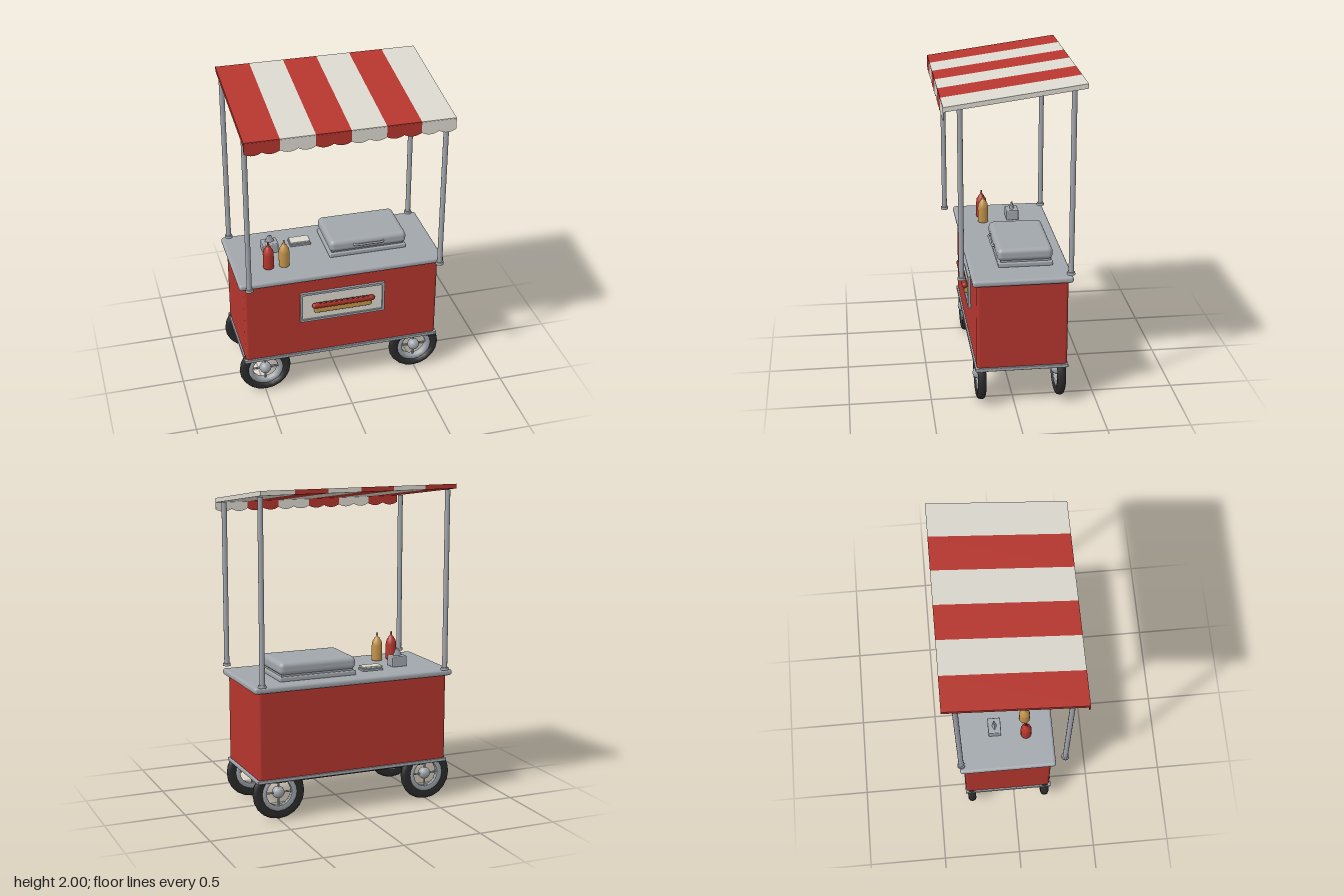
import * as THREE from 'three';
import { RoundedBoxGeometry } from 'three/addons/geometries/RoundedBoxGeometry.js';

const mat = (name, color, side = THREE.FrontSide) => {
  const m = new THREE.MeshStandardMaterial({ color, side });
  m.name = name;
  return m;
};

export function createModel() {
  const root = new THREE.Group();
  root.name = 'foodCart';
  const red = mat('red', 0xb5362e, THREE.DoubleSide);
  const cream = mat('cream', 0xdbd8cf, THREE.DoubleSide);
  const steel = mat('steel', 0xa1a6ac);
  const black = mat('black', 0x2b2b2b);
  const mustard = mat('mustard', 0xc2934a);
  const sausageRed = mat('sausageRed', 0xa02c22);

  const add = (name, geo, material, x = 0, y = 0, z = 0, parent = root) => {
    const m = new THREE.Mesh(geo, material);
    m.name = name;
    m.position.set(x, y, z);
    parent.add(m);
    return m;
  };
  // Boxes given by their limits on each axis
  const box = (name, material, [x0, x1], [y0, y1], [z0, z1], r = 0) => {
    const s = [x1 - x0, y1 - y0, z1 - z0];
    const geo = r ? new RoundedBoxGeometry(...s, 3, r) : new THREE.BoxGeometry(...s);
    return add(name, geo, material, (x0 + x1) / 2, (y0 + y1) / 2, (z0 + z1) / 2);
  };
  const lathe = (pts, n) => new THREE.LatheGeometry(pts.map(p => new THREE.Vector2(...p)), n);

  // Cabinet, counter and base
  box('cabinet', red, [-0.62, 0.63], [0.25, 0.81], [-0.32, 0.23], 0.02);
  box('counter', steel, [-0.65, 0.66], [0.8, 0.84], [-0.345, 0.255], 0.017);
  box('baseTrim', steel, [-0.63, 0.64], [0.24, 0.262], [-0.325, 0.24], 0.005);
  box('chassis', steel, [-0.52, 0.52], [0.213, 0.24], [-0.25, 0.165]);
  for (const z of [-0.254, 0.165]) box('chassisRail', black, [-0.5, 0.5], [0.213, 0.24], [z, z + 0.005]);

  // Wheels: tyre, rim, spokes and round hub
  const tyreGeo = lathe([[0.112, -0.022], [0.145, -0.026], [0.16, -0.018], [0.166, 0],
    [0.16, 0.018], [0.145, 0.026], [0.112, 0.022], [0.112, -0.022]], 20).rotateX(Math.PI / 2);
  const rimGeo = lathe([[0.082, -0.016], [0.114, -0.021], [0.114, 0.021], [0.082, 0.016], [0.082, -0.016]], 20)
    .rotateX(Math.PI / 2);
  const spokeGeo = new THREE.CylinderGeometry(0.006, 0.006, 0.18, 8);
  const hubGeo = new THREE.SphereGeometry(0.038, 16, 12);
  for (const x of [-0.495, 0.495]) for (const z of [-0.285, 0.2]) {
    const wheel = new THREE.Group();
    wheel.name = 'wheel';
    wheel.position.set(x, 0.167, z);
    root.add(wheel);
    add('tyre', tyreGeo, black, 0, 0, 0, wheel);
    add('rim', rimGeo, steel, 0, 0, 0, wheel);
    for (let i = 0; i < 2; i++) add('spoke', spokeGeo, steel, 0, 0, 0, wheel).rotation.z = i * Math.PI / 2;
    add('hub', hubGeo, steel, 0, 0, 0.006, wheel);
  }

  // Posts with foot flanges
  const slope = 0.11 / 0.82;
  for (const x of [-0.6, 0.61]) for (const z of [-0.335, 0.315]) {
    const h = 1.915 - slope * z - 0.84;
    add('post', new THREE.CylinderGeometry(0.016, 0.016, h, 16), steel, x, 0.84 + h / 2, z);
    add('postFoot', new THREE.CylinderGeometry(0.023, 0.025, 0.016, 16), steel, x, 0.847, z);
  }

  // Sloping striped canopy with scalloped valance
  const w = 1.255 / 6;
  for (let i = 0; i < 6; i++) {
    const x0 = -0.62 + i * w, material = i % 2 ? cream : red;
    const geo = new THREE.BoxGeometry(w, 0.028, 0.82);
    const p = geo.attributes.position;
    for (let k = 0; k < p.count; k++) p.setY(k, p.getY(k) - slope * p.getZ(k));
    geo.computeVertexNormals();
    add('canopyStripe', geo, material, x0 + w / 2, 1.931, 0);

    const s = new THREE.Shape();
    s.moveTo(0, 1.885);
    s.lineTo(0, 1.82);
    const lobes = 2, lw = w / lobes;
    for (let k = 0; k < lobes; k++) s.quadraticCurveTo((k + 0.5) * lw, 1.788, (k + 1) * lw, 1.82);
    s.lineTo(w, 1.885);
    const valance = new THREE.ExtrudeGeometry(s, { depth: 0.006, bevelEnabled: false, curveSegments: 8 });
    add('valance', valance, material, x0, 0, 0.405);
  }

  // Framed sign on the front
  const frame = new THREE.Shape();
  frame.moveTo(-0.273, -0.105).lineTo(0.273, -0.105).lineTo(0.273, 0.105).lineTo(-0.273, 0.105);
  const hole = new THREE.Path();
  hole.moveTo(-0.258, -0.09).lineTo(-0.258, 0.09).lineTo(0.258, 0.09).lineTo(0.258, -0.09);
  frame.holes.push(hole);
  add('signFrame', new THREE.ExtrudeGeometry(frame, { depth: 0.02, bevelEnabled: false }), steel, 0.005, 0.605, 0.227);
  box('signPanel', cream, [-0.255, 0.265], [0.513, 0.697], [0.228, 0.236]);

  // Sausage in a bun with wavy sauce
  box('bun', mustard, [-0.18, 0.19], [0.563, 0.61], [0.232, 0.262], 0.012);
  const capsule = new THREE.CapsuleGeometry(0.018, 0.37, 6, 12).rotateZ(Math.PI / 2);
  add('sausage', capsule, sausageRed, 0.007, 0.62, 0.258);
  const wave = [];
  for (let i = 0; i <= 36; i++) {
    wave.push(new THREE.Vector3(-0.15 + i * 0.0087, 0.634 + 0.006 * Math.cos(i * Math.PI / 2), 0.262));
  }
  add('sauce', new THREE.TubeGeometry(new THREE.CatmullRomCurve3(wave), 108, 0.006, 6), sausageRed);

  // Squeeze bottles
  const bottleGeo = lathe([[0, 0], [0.032, 0], [0.034, 0.01], [0.034, 0.1], [0.03, 0.125], [0.018, 0.142],
    [0.016, 0.15], [0.008, 0.155], [0.004, 0.183], [0, 0.184]], 20);
  add('ketchupBottle', bottleGeo, red, -0.43, 0.838, 0.085);
  add('mustardBottle', bottleGeo, mustard, -0.33, 0.838, 0.085);

  // Napkin dispenser and small stacked tray
  box('napkinBox', steel, [-0.43, -0.33], [0.838, 0.905], [-0.15, -0.07], 0.006);
  const napkin = add('napkin', new THREE.CylinderGeometry(0.012, 0.032, 0.045, 4), steel, -0.38, 0.925, -0.11);
  napkin.scale.z = 0.5;
  box('trayBase', steel, [-0.245, -0.11], [0.838, 0.853], [-0.19, -0.11], 0.004);
  box('trayTop', cream, [-0.242, -0.113], [0.855, 0.867], [-0.187, -0.113], 0.004);
  box('trayCore', steel, [-0.235, -0.12], [0.85, 0.858], [-0.18, -0.12]);

  // Covered grill with a bowed front handle
  box('grillBase', steel, [-0.035, 0.465], [0.838, 0.868], [-0.25, 0.08], 0.008);
  box('grillSeam', steel, [-0.02, 0.45], [0.86, 0.885], [-0.235, 0.065]);
  box('grillLid', steel, [-0.035, 0.465], [0.875, 0.955], [-0.25, 0.085], 0.03);
  const grip = new THREE.CatmullRomCurve3([[0.12, 0.08], [0.125, 0.097], [0.215, 0.1], [0.305, 0.097], [0.31, 0.08]]
    .map(([x, z]) => new THREE.Vector3(x, 0.921, z)));
  add('grillHandle', new THREE.TubeGeometry(grip, 32, 0.007, 8), steel);

  return root;
}
